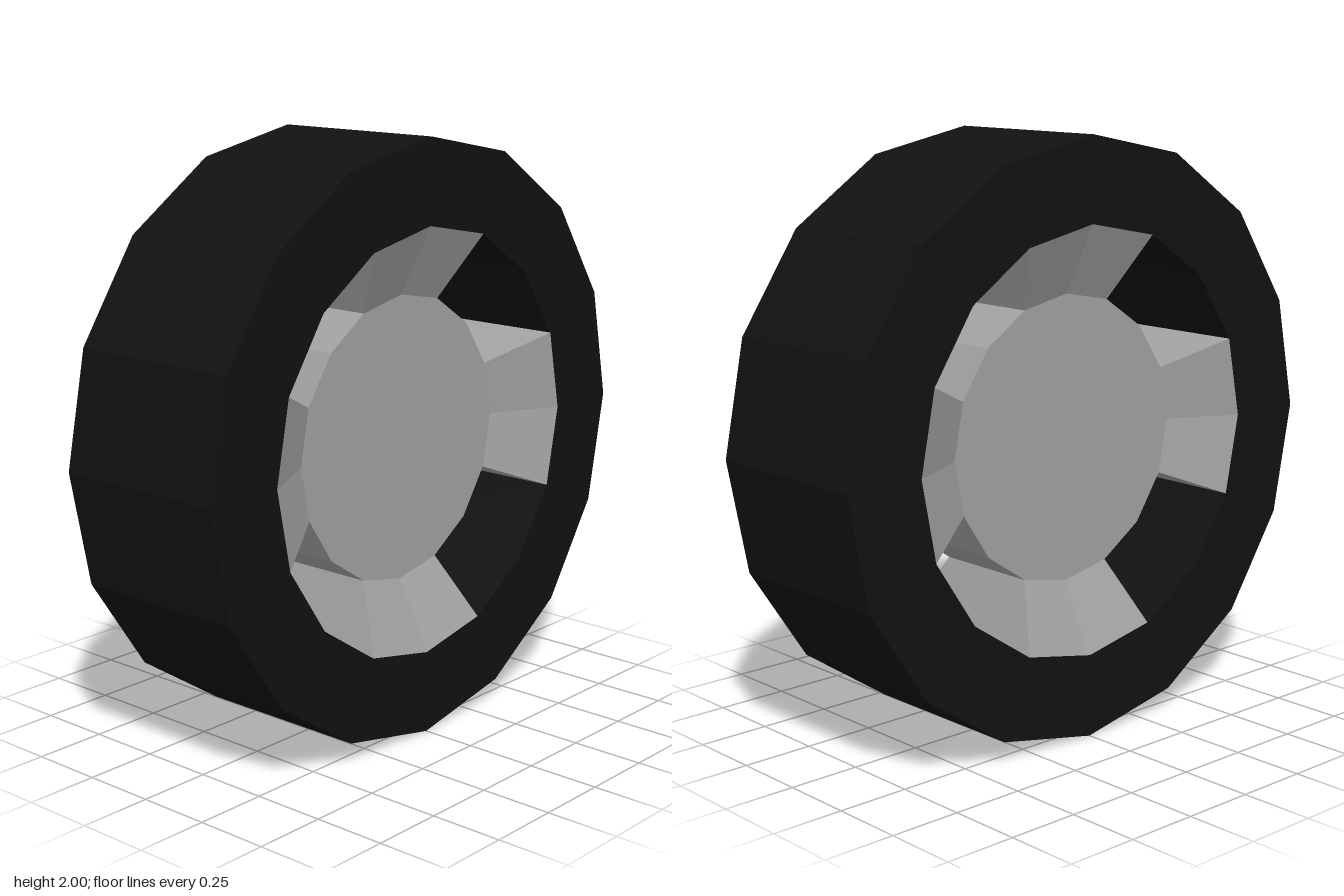
import * as THREE from 'three';

const SIDES = 16;
const TYRE_R = 1, RIM_R = 0.717, HUB_R = 0.483;
const TYRE_HALF = 0.31, HUB_HALF = 0.19;

const rubber = new THREE.MeshStandardMaterial({ color: 0x111111, flatShading: true });
const metal = new THREE.MeshStandardMaterial({ color: 0xa0a0a0, flatShading: true });

// Revolves [radius, x] points round the x axle
function turned(name, profile, material) {
  const points = profile.map(([r, x]) => new THREE.Vector2(r, x));
  const geometry = new THREE.LatheGeometry(points, SIDES);
  geometry.rotateZ(-Math.PI / 2);
  const mesh = new THREE.Mesh(geometry, material);
  mesh.name = name;
  return mesh;
}

// Wedge two facets wide that flares from the hub out to the rim
function spokeGeometry() {
  const geometry = new THREE.BoxGeometry(1, 1, 1, 1, 1, 2);
  const p = geometry.attributes.position;
  for (let i = 0; i < p.count; i++) {
    const outer = p.getY(i) > 0;
    const r = outer ? RIM_R : HUB_R;
    const angle = p.getZ(i) * Math.PI / 4;
    const half = outer ? TYRE_HALF : HUB_HALF;
    p.setXYZ(i, Math.sign(p.getX(i)) * half, r * Math.cos(angle), r * Math.sin(angle));
  }
  geometry.computeVertexNormals();
  return geometry;
}

export function createModel() {
  const wheel = new THREE.Group();
  wheel.name = 'wheel';

  // Square-section tyre
  wheel.add(turned('tyre', [
    [RIM_R, -TYRE_HALF], [TYRE_R, -TYRE_HALF], [TYRE_R, TYRE_HALF],
    [RIM_R, TYRE_HALF], [RIM_R, -TYRE_HALF],
  ], rubber));

  // Recessed flat hub
  wheel.add(turned('hub', [
    [0, -HUB_HALF], [HUB_R, -HUB_HALF], [HUB_R, HUB_HALF], [0, HUB_HALF],
  ], metal));

  // Four flared spokes
  const geometry = spokeGeometry();
  for (let i = 0; i < 4; i++) {
    const spoke = new THREE.Mesh(geometry, metal);
    spoke.name = 'spoke' + (i + 1);
    spoke.rotation.x = i * Math.PI / 2;
    wheel.add(spoke);
  }

  wheel.position.y = TYRE_R;
  const model = new THREE.Group();
  model.name = 'wheelModel';
  model.add(wheel);
  return model;
}
